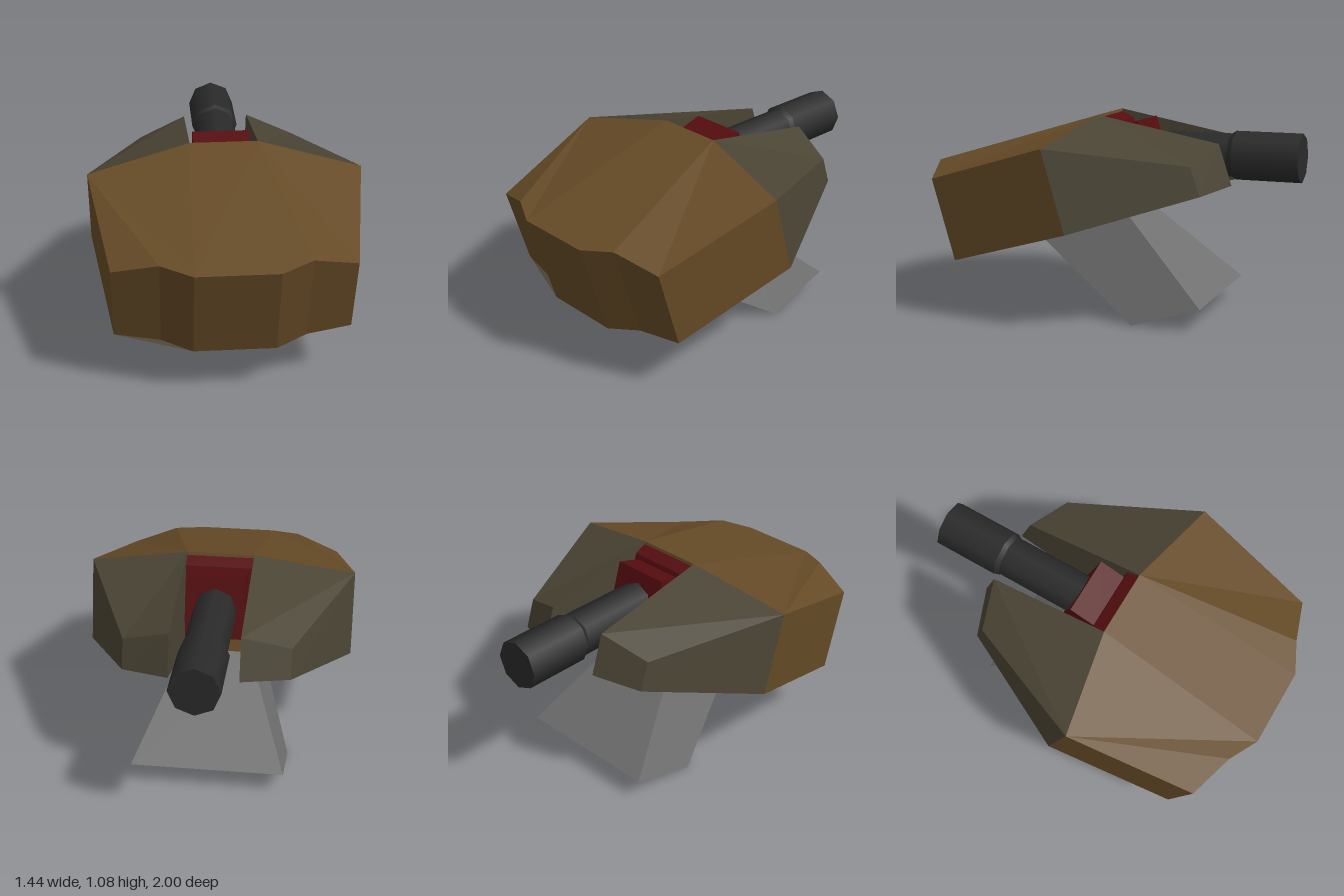
import * as THREE from 'three';

const mat = (name, color, extra = {}) => {
  const m = new THREE.MeshStandardMaterial({ color, ...extra });
  m.name = name;
  return m;
};

// Flat-faced geometry from convex polygons, each fanned from its first corner
function facesGeometry(faces) {
  const pos = [];
  for (const f of faces)
    for (let i = 1; i < f.length - 1; i++) pos.push(...f[0], ...f[i], ...f[i + 1]);
  const g = new THREE.BufferGeometry();
  g.setAttribute('position', new THREE.Float32BufferAttribute(pos, 3));
  g.computeVertexNormals();
  return g;
}

const flip = ([x, y, z]) => [-x, y, z];
const mirror = (face) => face.map(flip).reverse();
const bothSides = (faces) => [...faces, ...faces.map(mirror)];

export function createModel() {
  const group = new THREE.Group();
  const brown = mat('brown', 0x654a26);
  const olive = mat('olive', 0x4a4434);
  const grey = mat('grey', 0x707070, { side: THREE.DoubleSide });
  const black = mat('black', 0x2a2a2a);
  const red = mat('darkRed', 0x550d10);

  const add = (name, geometry, material) => {
    const mesh = new THREE.Mesh(geometry, material);
    mesh.name = name;
    group.add(mesh);
    return mesh;
  };

  // Left half of the hull outline, front to back: bottom and top corners
  const [A, B, C, D, E, F, S] = [
    [0.21, 0.28, 0.845, 0.795, 1.0],
    [0.37, 0.305, 0.765, 0.817, 0.92],
    [0.605, 0.32, 0.72, 0.75, 0.845],
    [0.72, 0.525, 0.04, 0.955, 0.165],
    [0.43, 0.71, -0.575, 0.86, -0.525],
    [0.18, 0.735, -0.67, 0.95, -0.6],
    [0.18, 0.56, -0.083, 1.075, 0.07], // front corner of the slot
  ].map(([x, yb, zb, yt, zt]) => ({ b: [x, yb, zb], t: [x, yt, zt] }));
  const wall = (p, q) => [p.b, q.b, q.t, p.t];
  const mir = (p) => ({ b: flip(p.b), t: flip(p.t) });

  // Front half of the hull
  add('frontHull', facesGeometry([
    ...bothSides([
      wall(A, B), wall(B, C), wall(C, D),
      [S.t, A.t, B.t, C.t, D.t],
    ]),
    wall(mir(A), A),
    [flip(A.t), A.t, S.t, flip(S.t)],
    wall(S, mir(S)),
  ]), brown);

  // Rear prongs on either side of the slot, and the underside
  add('rearHull', facesGeometry(bothSides([
    wall(D, E), wall(E, F), wall(F, S),
    [S.t, D.t, E.t, F.t],
  ])), olive);
  add('underside', facesGeometry([
    ...bothSides([[S.b, F.b, E.b, D.b, C.b, B.b, A.b]]),
    [flip(S.b), S.b, A.b, flip(A.b)],
  ]), olive);

  // Flared stand, open at the bottom
  const front = { b: [0.405, 0, -0.2], t: [0.18, 0.41, 0.43] };
  const back = { b: [0.405, 0.12, -0.575], t: [0.18, 0.565, -0.083] };
  add('stand', facesGeometry([
    ...bothSides([wall(front, back)]),
    wall(mir(front), front),
    wall(back, mir(back)),
  ]), grey);

  // Panel closing the top of the stand
  const lower = ([x, y, z]) => [x, y - 0.006, z];
  add('standPanel', facesGeometry([
    [flip(back.t), back.t, front.t, flip(front.t)].map(lower),
  ]), brown);

  // Breech blocks in the slot: side profiles (z, y) extruded across x
  const block = (name, width, profile) => {
    const shape = new THREE.Shape(profile.map(([z, y]) => new THREE.Vector2(-z, y)));
    const g = new THREE.ExtrudeGeometry(shape, { depth: width, bevelEnabled: false });
    g.translate(0, 0, -width / 2).rotateY(Math.PI / 2);
    add(name, g, red);
  };
  block('breechMount', 0.356, [[0.066, 1.06], [0.0, 1.03], [-0.09, 0.73], [-0.035, 0.715]]);
  block('breech', 0.31, [[0.04, 0.99], [-0.145, 1.046], [-0.24, 0.73], [-0.04, 0.67]]);

  // Barrel: thin tube, short flare and thick muzzle
  const tube = (name, rFront, rBack, zFront, zBack, open) => {
    const g = new THREE.CylinderGeometry(rFront, rBack, zFront - zBack, 8, 1, open);
    g.rotateX(Math.PI / 2).translate(0, 0.87, (zFront + zBack) / 2);
    add(name, g, black);
  };
  tube('barrel', 0.115, 0.115, -0.15, -0.62, false);
  tube('muzzleFlare', 0.115, 0.13, -0.62, -0.645, true);
  tube('muzzle', 0.13, 0.13, -0.645, -1.0, false);

  return group;
}
